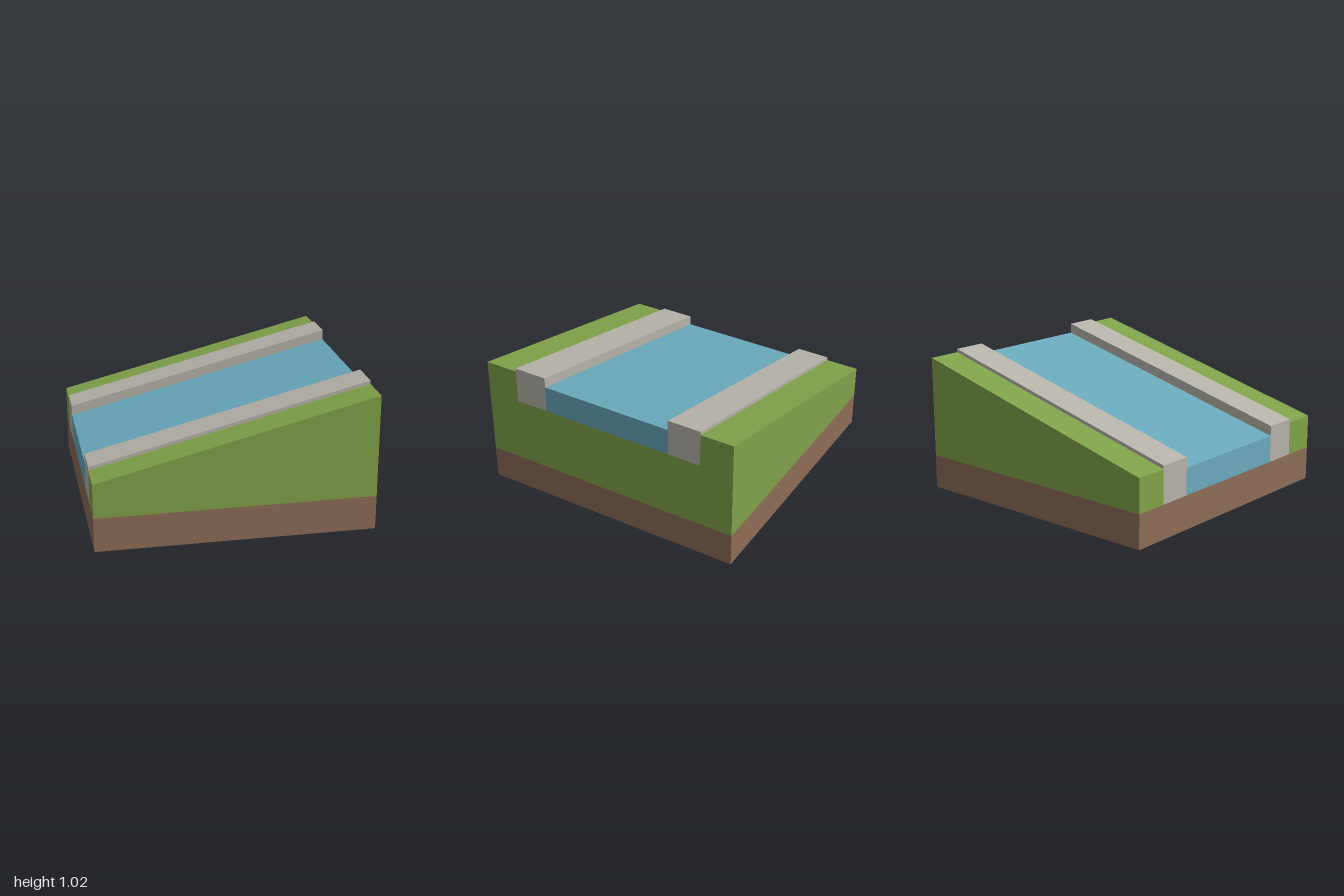
import * as THREE from 'three';

const mat = (name, color) =>
  new THREE.MeshStandardMaterial({ name, color, side: THREE.DoubleSide });

// Height of the sloping ground at x
const slope = (x) => 0.75 + 0.25 * x;

// Mesh made of flat four-cornered faces, corners counter-clockwise from outside
function panels(name, material, quads) {
  const pos = [];
  for (const [a, b, c, d] of quads) pos.push(...a, ...b, ...c, ...a, ...c, ...d);
  const geo = new THREE.BufferGeometry();
  geo.setAttribute('position', new THREE.Float32BufferAttribute(pos, 3));
  geo.computeVertexNormals();
  const mesh = new THREE.Mesh(geo, material);
  mesh.name = name;
  return mesh;
}

// Upright rectangle on the end x = 1 or x = -1, with zA > zB
function endFace(x, zA, zB, y0, y1) {
  const q = [[x, y0, zA], [x, y0, zB], [x, y1, zB], [x, y1, zA]];
  return x > 0 ? q : q.reverse();
}

// Face running down the slope between two [z, height above slope] points
function slopeFace([zA, hA], [zB, hB]) {
  return [
    [-1, slope(-1) + hA, zA], [1, slope(1) + hA, zA],
    [1, slope(1) + hB, zB], [-1, slope(-1) + hB, zB],
  ];
}

export function createModel() {
  const grass = mat('grass green', 0x80a24a);
  const earth = mat('earth brown', 0x8d6c56);
  const stone = mat('stone grey', 0xb5b2a9);
  const water = mat('water blue', 0x69a9bb);

  const model = new THREE.Group();
  model.name = 'slopedRiverTile';

  const SOIL = 0.25, KERB = 0.025, WATER = -0.05;
  const IN = 0.5, OUT = 0.75;

  // Earth band around the open base
  const soil = [endFace(1, 1, -1, 0, SOIL), endFace(-1, 1, -1, 0, SOIL)];
  // Wedge-shaped grass sides above it
  const sides = [];
  for (const s of [1, -1]) {
    soil.push([[-s, 0, s], [s, 0, s], [s, SOIL, s], [-s, SOIL, s]]);
    sides.push([[-s, SOIL, s], [s, SOIL, s], [s, slope(s), s], [-s, slope(-s), s]]);
  }
  model.add(panels('earthBase', earth, soil));
  model.add(panels('grassSides', grass, sides));

  // Grass wall under the channel at the high end
  model.add(panels('grassHighEnd', grass, [endFace(1, 1, -1, SOIL, 0.75)]));

  // Grass bank and stone kerb on each side of the river
  for (const [side, s] of [['front', 1], ['back', -1]]) {
    const strip = (a, b) => {
      const p = [s * a[0], a[1]], q = [s * b[0], b[1]];
      return s > 0 ? slopeFace(p, q) : slopeFace(q, p);
    };
    const ends = (a, b, h) => [1, -1].map((x) => endFace(
      x, Math.max(s * a, s * b), Math.min(s * a, s * b), slope(x) - 0.25, slope(x) + h));

    model.add(panels(side + 'Bank', grass, [
      strip([1, 0], [OUT, 0]), ...ends(1, OUT, 0),
    ]));
    model.add(panels(side + 'Kerb', stone, [
      strip([OUT, 0], [OUT, KERB]),
      strip([OUT, KERB], [IN, KERB]),
      strip([IN, KERB], [IN, WATER]),
      ...ends(OUT, IN, KERB),
    ]));
  }

  // River surface and its cut ends
  model.add(panels('river', water, [
    slopeFace([IN, WATER], [-IN, WATER]),
    ...[1, -1].map((x) => endFace(x, IN, -IN, slope(x) - 0.25, slope(x) + WATER)),
  ]));

  return model;
}
